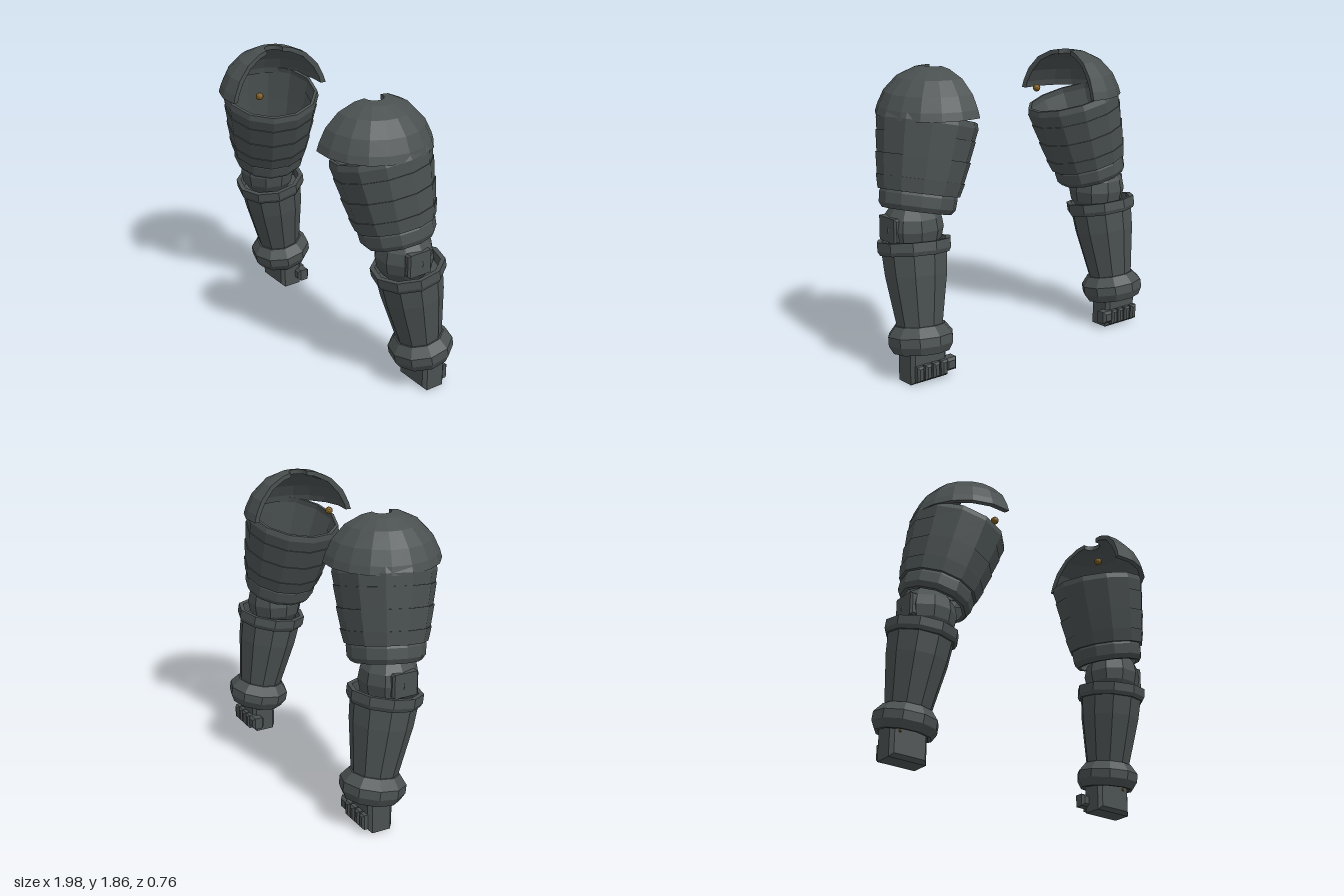
import * as THREE from 'three';

const armour = new THREE.MeshStandardMaterial({ color: 0x4a5050, side: THREE.DoubleSide });
armour.name = 'dark grey armour';
const brass = new THREE.MeshStandardMaterial({ color: 0x7d5c1c });
brass.name = 'brass';

const rad = THREE.MathUtils.degToRad;

// Gives every face its own normal for a low-poly look
function faceted(geometry) {
  const g = geometry.index ? geometry.toNonIndexed() : geometry;
  g.computeVertexNormals();
  return g;
}

function part(name, geometry, x = 0, y = 0, z = 0, material = armour) {
  const mesh = new THREE.Mesh(faceted(geometry), material);
  mesh.name = name;
  mesh.position.set(x, y, z);
  return mesh;
}

// Lathe from [radius, height] pairs; outer wall upwards, inner wall downwards
function turned(profile, sides, start = 0, sweep = Math.PI * 2) {
  return new THREE.LatheGeometry(profile.map(([r, y]) => new THREE.Vector2(r, y)), sides, start, sweep);
}

// Box with chamfered edges, centred on its origin
function chamferBox(w, h, d, c) {
  const a = w / 2 - c, b = h / 2 - c;
  const shape = new THREE.Shape([[-a, -b], [a, -b], [a, b], [-a, b]].map(([x, y]) => new THREE.Vector2(x, y)));
  const g = new THREE.ExtrudeGeometry(shape, {
    depth: d - 2 * c, bevelEnabled: true, bevelSize: c, bevelThickness: c, bevelSegments: 1,
  });
  return g.translate(0, 0, c - d / 2);
}

// Thick partial dome with an opening at its crown and closed cut ends
function shoulderGuard() {
  const group = new THREE.Group();
  group.name = 'shoulderGuard';
  const profile = [
    [0.325, 0], [0.36, 0], [0.345, 0.05], [0.305, 0.135], [0.225, 0.22], [0.125, 0.268], [0.06, 0.28],
    [0.06, 0.25], [0.115, 0.24], [0.205, 0.195], [0.275, 0.115], [0.315, 0.04], [0.325, 0],
  ];
  const start = rad(-12), sweep = rad(204);
  group.add(part('domeShell', turned(profile, 10, start, sweep)));
  const section = new THREE.Shape(profile.slice(0, -1).map(([r, y]) => new THREE.Vector2(r, y)));
  for (const angle of [start, start + sweep]) {
    const end = part('domeCutEnd', new THREE.ShapeGeometry(section));
    end.rotation.y = angle - Math.PI / 2;
    group.add(end);
  }
  group.position.set(0.53, 1.58, 0.025);
  return group;
}

// Hollow tapered sleeve of stepped bands, open at both ends
function upperArm() {
  const group = new THREE.Group();
  group.name = 'upperArm';
  const bands = [
    // bottom height, bottom radius, top height, top radius
    [0.17, 0.299, 0.245, 0.312],
    [0.04, 0.283, 0.17, 0.305],
    [-0.09, 0.265, 0.04, 0.29],
    [-0.175, 0.25, -0.09, 0.271],
  ];
  for (const [y0, r0, y1, r1] of bands) {
    group.add(part('sleeveBand', turned([
      [r0 - 0.025, y0], [r0, y0], [r1, y1], [r1 - 0.025, y1], [r0 - 0.025, y0],
    ], 12)));
  }
  group.add(part('sleeveRim', turned([
    [0.287, 0.245], [0.312, 0.245], [0.302, 0.282], [0.282, 0.282], [0.287, 0.245],
  ], 12)));
  group.add(part('lowerCuff', turned([
    [0.19, -0.285], [0.212, -0.285], [0.234, -0.255], [0.238, -0.19], [0.23, -0.165],
    [0.21, -0.165], [0.212, -0.25], [0.19, -0.285],
  ], 12)));
  group.position.set(0.65, 1.28, -0.012);
  group.rotation.set(rad(6), 0, rad(14));
  return group;
}

function elbow() {
  const group = new THREE.Group();
  group.name = 'elbow';
  group.add(part('elbowBall', new THREE.SphereGeometry(0.185, 10, 8), 0.755, 0.92, -0.05));
  group.add(part('elbowBlock', chamferBox(0.08, 0.15, 0.175, 0.012), 0.895, 0.925, -0.035));
  return group;
}

function forearm() {
  const group = new THREE.Group();
  group.name = 'forearm';
  group.add(part('forearmBody', turned([
    [0, -0.03], [0.14, -0.03], [0.145, 0.09], [0.195, 0.4], [0.205, 0.53], [0, 0.53],
  ], 10)));
  group.add(part('elbowCollar', turned([
    [0.195, 0.525], [0.217, 0.525], [0.23, 0.55], [0.23, 0.605], [0.2, 0.605], [0.195, 0.525],
  ], 10)));
  group.add(part('wristBell', turned([
    [0, -0.03], [0.145, -0.03], [0.155, -0.075], [0.175, -0.075], [0.203, -0.025],
    [0.203, 0.03], [0.155, 0.09], [0.14, 0.09],
  ], 10)));
  group.position.set(0.797, 0.25, -0.172);
  group.rotation.set(rad(9.5), 0, rad(3));
  return group;
}

function hand() {
  const group = new THREE.Group();
  group.name = 'hand';
  group.add(part('palm', chamferBox(0.26, 0.22, 0.165, 0.022), 0.8, 0.112, -0.187));
  // Curled fingers along the lower back of the palm
  for (let i = 0; i < 4; i++) {
    group.add(part('finger', chamferBox(0.048, 0.095, 0.06, 0.012), 0.713 + i * 0.058, 0.075, -0.275));
  }
  group.add(part('thumb', chamferBox(0.08, 0.08, 0.085, 0.016), 0.658, 0.082, -0.255));
  group.add(part('wristStud', new THREE.IcosahedronGeometry(0.012, 0), 0.872, 0.168, -0.106, brass));
  return group;
}

function arm(name) {
  const group = new THREE.Group();
  group.name = name;
  group.add(shoulderGuard(), upperArm(), elbow(), forearm(), hand());
  group.add(part('shoulderStud', new THREE.IcosahedronGeometry(0.025, 1), 0.433, 1.6, 0.2, brass));
  return group;
}

export function createModel() {
  const model = new THREE.Group();
  model.name = 'armouredArms';
  const right = arm('rightArm');
  right.scale.x = -1;
  model.add(arm('leftArm'), right);
  return model;
}
